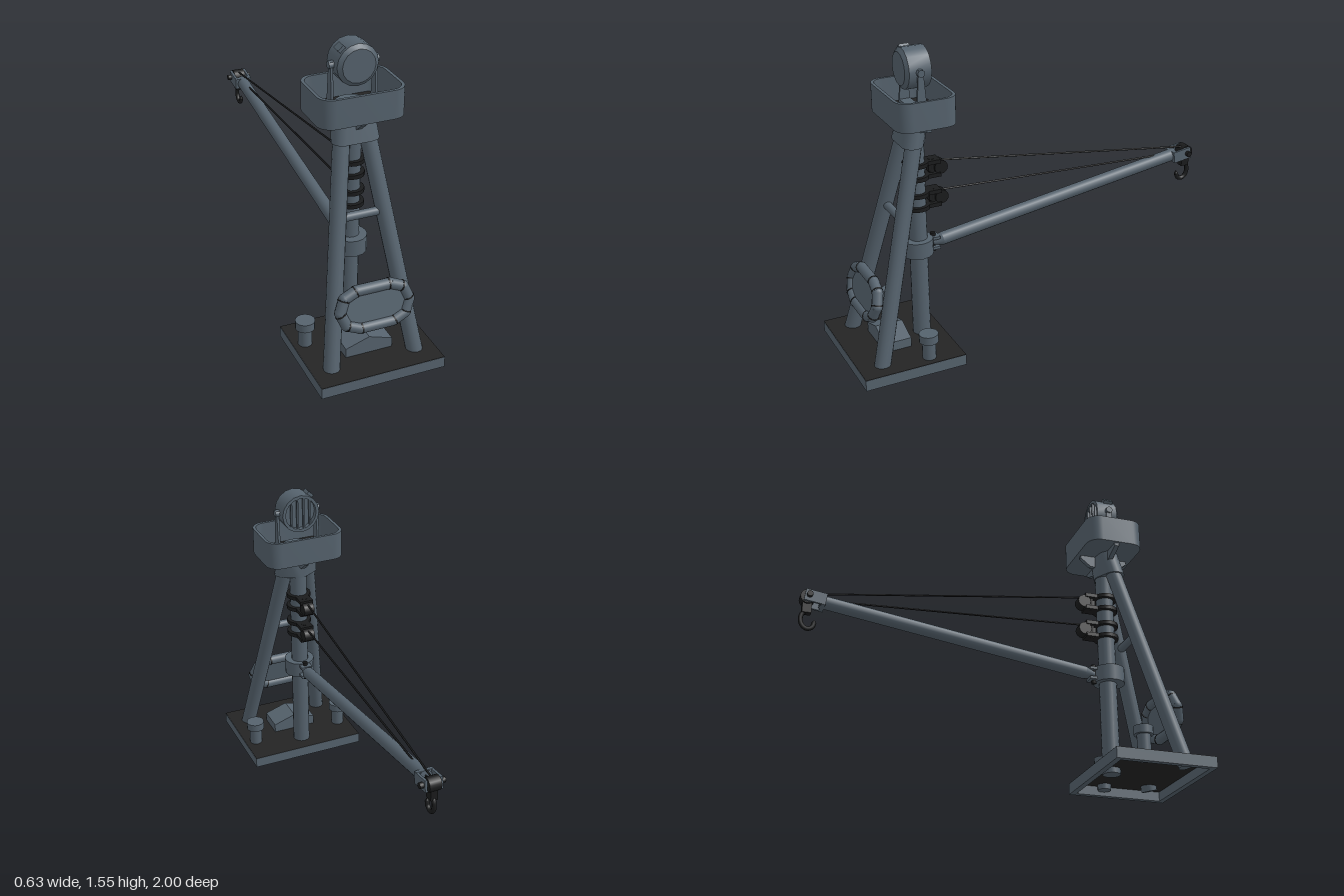
import * as THREE from 'three';
import { toCreasedNormals } from 'three/addons/utils/BufferGeometryUtils.js';
import { ConvexGeometry } from 'three/addons/geometries/ConvexGeometry.js';

const V = (x, y, z) => new THREE.Vector3(x, y, z);

export function createModel() {
  const root = new THREE.Group();
  const mat = (name, color) => {
    const m = new THREE.MeshStandardMaterial({ color });
    m.name = name;
    return m;
  };
  const grey = mat('blueGreyPaint', 0x55626d);
  const deck = mat('darkDeck', 0x242424);
  const black = mat('blackFittings', 0x1a1b1c);

  const add = (name, geo, material = grey, x = 0, y = 0, z = 0, parent = root) => {
    const m = new THREE.Mesh(geo, material);
    m.name = name;
    m.position.set(x, y, z);
    parent.add(m);
    return m;
  };
  const box = (name, w, h, d, x, y, z, material, parent) =>
    add(name, new THREE.BoxGeometry(w, h, d), material, x, y, z, parent);
  // Round bar between two points
  const rod = (name, a, b, r, material, r2 = r, seg = 16, parent = root) => {
    const m = add(name, new THREE.CylinderGeometry(r2, r, a.distanceTo(b), seg), material, 0, 0, 0, parent);
    m.position.copy(a).lerp(b, 0.5);
    m.quaternion.setFromUnitVectors(V(0, 1, 0), b.clone().sub(a).normalize());
    return m;
  };
  // Rounded rectangle outline, half sizes w and h
  const roundRect = (w, h, r, Type = THREE.Shape) => {
    const s = new Type();
    s.absarc(w - r, h - r, r, 0, Math.PI / 2);
    s.absarc(r - w, h - r, r, Math.PI / 2, Math.PI);
    s.absarc(r - w, r - h, r, Math.PI, Math.PI * 1.5);
    s.absarc(w - r, r - h, r, Math.PI * 1.5, Math.PI * 2);
    s.closePath();
    return s;
  };
  const extrude = (shape, depth, curveSegments = 4) => toCreasedNormals(
    new THREE.ExtrudeGeometry(shape, { depth, bevelEnabled: false, curveSegments }), 0.6);
  const upright = (shape, depth, seg) => extrude(shape, depth, seg).rotateX(-Math.PI / 2);
  const poly = (pts) => new THREE.Shape(pts.map(([x, y]) => new THREE.Vector2(x, y)));

  // Base: hollow frame with a dark deck
  const frame = poly([[-0.315, -0.26], [0.315, -0.26], [0.315, 0.26], [-0.315, 0.26]]);
  frame.holes.push(poly([[-0.285, -0.23], [-0.285, 0.23], [0.285, 0.23], [0.285, -0.23]]));
  add('baseFrame', upright(frame, 0.055), grey, 0, 0, 0.74);
  box('deckPlate', 0.628, 0.009, 0.518, 0, 0.0525, 0.74, deck);

  // Tripod
  const MZ = 0.585;
  rod('mast', V(0, 0.02, MZ), V(0, 1.2, MZ), 0.045);
  for (const s of [-1, 1]) {
    rod('frontLeg', V(s * 0.218, 0.025, 0.885), V(s * 0.062, 1.12, 0.61), 0.04);
    // Deck vents
    rod('ventPipe', V(s * 0.253, 0.02, 0.65), V(s * 0.253, 0.15, 0.65), 0.034);
    rod('ventCap', V(s * 0.253, 0.148, 0.65), V(s * 0.253, 0.19, 0.65), 0.048);
  }
  rod('crossBar', V(-0.115, 0.745, 0.705), V(0.115, 0.745, 0.705), 0.021);

  // Head joining the three tubes
  const hull = [];
  for (const [y, x, z] of [[1.09, 0.066, 0.622], [1.215, 0.05, 0.592]]) {
    for (const [cx, cz] of [[-x, z], [x, z], [0, MZ]]) {
      for (let i = 0; i < 12; i++) {
        const a = i * Math.PI / 6;
        hull.push(V(cx + 0.051 * Math.cos(a), y, cz + 0.051 * Math.sin(a)));
      }
    }
  }
  add('tripodHead', toCreasedNormals(new ConvexGeometry(hull), 0.6));

  // Gable-topped deck hatch
  add('deckHatch', extrude(poly([[-0.12, 0.05], [0.12, 0.05], [0.12, 0.105], [0, 0.145], [-0.12, 0.105]]), 0.14),
    grey, 0, 0, 0.69);

  // Lamp platform tub with floor and gussets
  const tub = roundRect(0.21, 0.15, 0.07);
  tub.holes.push(roundRect(0.195, 0.135, 0.058, THREE.Path));
  add('tubWall', upright(tub, 0.14), grey, 0, 1.213, MZ);
  add('tubUnderside', upright(roundRect(0.205, 0.145, 0.066), 0.012), grey, 0, 1.213, MZ);
  add('tubFloor', upright(roundRect(0.197, 0.137, 0.06), 0.005), deck, 0, 1.224, MZ);
  for (let i = 0; i < 4; i++) {
    const reach = i % 2 ? 0.128 : 0.195;
    const g = extrude(poly([[0.02, 1.216], [0.02, 1.155], [0.075, 1.155], [reach, 1.197], [reach, 1.216]]), 0.024);
    add('tubGusset', g.translate(0, 0, -0.012), grey, 0, 0, MZ).rotation.y = i * Math.PI / 2;
  }

  // Searchlight, lens towards the rear
  const lamp = new THREE.Group();
  lamp.name = 'searchlight';
  lamp.position.set(0, 1.455, MZ);
  root.add(lamp);
  const profile = [[0, -0.035], [0.084, -0.035], [0.084, -0.06], [0.1, -0.06], [0.1, 0.05], [0.08, 0.065], [0, 0.065]];
  const drum = new THREE.LatheGeometry(profile.map((p) => new THREE.Vector2(...p)), 16);
  add('lampDrum', toCreasedNormals(drum.rotateX(Math.PI / 2), 0.5), grey, 0, 0, 0, lamp);
  for (const x of [-0.05, -0.017, 0.017, 0.05]) {
    box('lensBar', 0.008, 2 * Math.sqrt(0.0072 - x * x), 0.012, x, 0, -0.052, grey, lamp);
  }
  box('lampLatch', 0.035, 0.025, 0.05, -0.068, 0.075, 0.01, grey, lamp).rotation.z = 0.75;
  for (const s of [-1, 1]) {
    const arm = extrude(poly([[-0.028, -0.2], [0.028, -0.2], [0.011, 0.015], [-0.011, 0.015]]), 0.012);
    add('yokeArm', arm.rotateY(Math.PI / 2).translate(-0.006, 0, 0), grey, s * 0.108, 0, 0, lamp);
    rod('yokePivot', V(s * 0.09, 0, 0), V(s * 0.121, 0, 0), 0.018, grey, 0.018, 10, lamp);
  }
  box('yokeBase', 0.228, 0.016, 0.056, 0, -0.195, 0, grey, lamp);
  rod('lampPedestal', V(0, -0.23, 0), V(0, -0.195, 0), 0.1, grey, 0.08, 16, lamp);

  // Life raft: segmented tube, lashings and floor, leaning on the legs
  const raft = new THREE.Group();
  raft.name = 'lifeRaft';
  raft.position.set(0, 0.352, 0.876);
  raft.rotation.x = -0.245;
  root.add(raft);
  const ring = [];
  for (const s of [1, -1]) {
    for (let i = 0; i <= 4; i++) {
      const a = -Math.PI / 2 + i * Math.PI / 4;
      ring.push(V(s * (0.084 + 0.091 * Math.cos(a)), s * 0.091 * Math.sin(a), 0));
    }
  }
  ring.forEach((p, i) => {
    const q = ring[(i + 1) % ring.length];
    const dir = q.clone().sub(p).normalize();
    rod('raftTube', p, q, 0.027, grey, 0.027, 12, raft);
    add('raftJoint', new THREE.SphereGeometry(0.027, 12, 8), grey, p.x, p.y, 0, raft);
    const mid = p.clone().addScaledVector(dir, 0.004);
    rod('raftLashing', mid, mid.clone().addScaledVector(dir, 0.007), 0.0285, black, 0.0285, 12, raft);
  });
  add('raftFloor', extrude(roundRect(0.172, 0.09, 0.089), 0.016), grey, 0, 0, -0.008, raft);

  // Black pulley clamps on the mast
  for (const [y, tilt] of [[0.94, 0], [0.785, 0]]) {
    for (const dy of [-0.034, 0.034]) {
      rod('mastClamp', V(0, y + dy - 0.01, MZ), V(0, y + dy + 0.01, MZ), 0.064, black);
      box('clampTongue', 0.07, 0.02, 0.085, 0, y + dy, 0.51, black);
    }
    rod('clampPin', V(0, y - 0.045, 0.505), V(0, y + 0.045, 0.505), 0.016, black, 0.016, 10);
    box('pulleyLink', 0.03, 0.03, 0.07, 0, y, 0.49, black);
    rod('mastPulley', V(-0.028, y, 0.463), V(0.028, y, 0.463), 0.034, black);
  }

  // Boom hinge
  rod('hingeCollar', V(0, 0.498, 0.592), V(0, 0.58, 0.592), 0.08);
  for (const y of [0.515, 0.568]) box('hingePlate', 0.06, 0.014, 0.09, 0, y, 0.525, grey);
  rod('hingePin', V(0, 0.492, 0.508), V(0, 0.592, 0.508), 0.013, black, 0.013, 10);

  // Boom
  const heel = V(0, 0.54, 0.51), tip = V(0, 0.748, -0.9);
  const at = (t) => heel.clone().lerp(tip, t);
  rod('boomHeel', at(0), at(0.035), 0.016, grey, 0.033);
  rod('boom', at(0.035), at(1), 0.033);

  // Boom head with fork and sheave
  for (const s of [-1, 1]) {
    const cheek = box('forkCheek', 0.012, 0.06, 0.105, s * 0.039, 0.75, -0.927, grey);
    cheek.rotation.x = 0.145;
  }
  box('forkBridge', 0.085, 0.062, 0.02, 0, 0.744, -0.885, grey).rotation.x = 0.145;
  rod('sheave', V(-0.03, 0.755, -0.963), V(0.03, 0.755, -0.963), 0.036, black);
  rod('sheaveAxle', V(-0.064, 0.755, -0.957), V(0.064, 0.755, -0.957), 0.015, black, 0.015, 8);

  // Hook
  box('hookBlock', 0.036, 0.055, 0.045, 0, 0.702, -0.963, black);
  const hookPath = new THREE.CatmullRomCurve3([
    V(0, 0.69, -0.968), V(0, 0.665, -0.985), V(0, 0.632, -0.987), V(0, 0.605, -0.972),
    V(0, 0.597, -0.95), V(0, 0.607, -0.93), V(0, 0.632, -0.921)]);
  add('hook', new THREE.TubeGeometry(hookPath, 20, 0.0115, 8), black);
  rod('hookPoint', V(0, 0.628, -0.922), V(0, 0.645, -0.92), 0.0115, black, 0.003, 8);

  // Hoist cables
  rod('upperCable', V(0, 0.968, 0.45), V(0, 0.78, -0.95), 0.005, black, 0.005, 6);
  rod('lowerCable', V(0, 0.812, 0.45), V(0, 0.752, -0.93), 0.005, black, 0.005, 6);

  return root;
}
